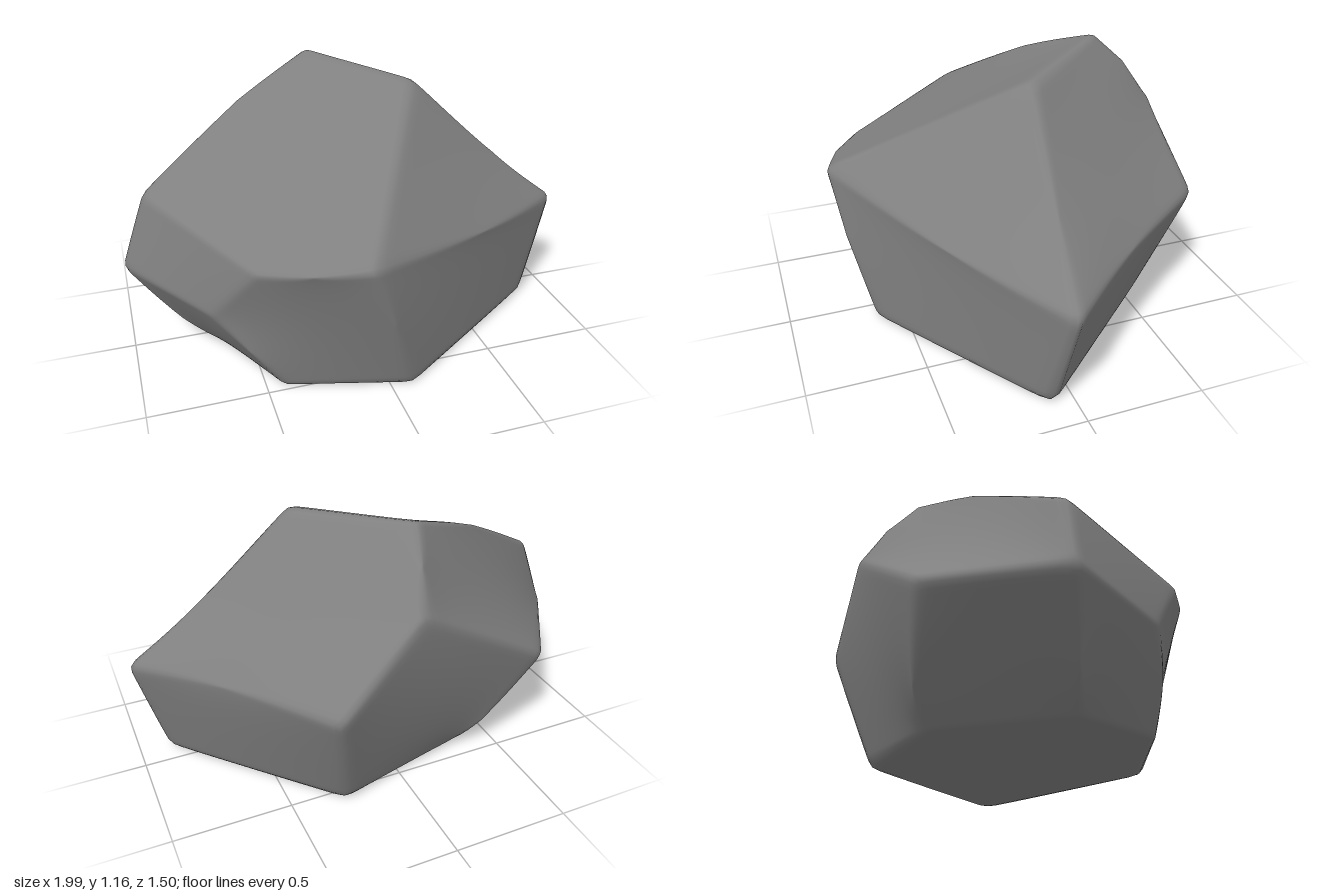
import * as THREE from 'three';

// Corner points of the boulder; those shared by only two facets bend an edge softly
const corners = {
  peak: [-0.06, 1.165, -0.46], ridge: [-0.4, 1.04, -0.29], shoulder: [0.3, 1.13, -0.02],
  brow: [-0.13, 0.67, 0.76], browCurve: [-0.35, 0.635, 0.69], leftBrow: [-0.54, 0.62, 0.57],
  leftTop: [-0.9, 0.74, -0.02], tip: [1.015, 0.485, 0.06], tipRidge: [0.72, 0.7, 0.02],
  frontCrease: [0.52, 0.53, 0.39], backCrease: [0.7, 0.53, -0.28], back: [0.385, 0.545, -0.765],
  backTop: [0.02, 0.88, -0.7], backRidge: [-0.02, 1.045, -0.59], backLeft: [-0.68, 0.45, -0.53],
  left: [-1.015, 0.4, -0.03], chamfer: [-0.7, 0.36, 0.4], frontEdge: [-0.03, 0.4, 0.72],
  chamferEdge: [-0.56, 0.2, 0.48], sideEdge: [-0.77, 0.1, 0.06], lowBack: [-0.38, 0.1, -0.49],
  footTip: [0.885, 0, 0.1], footFront: [0.09, 0, 0.63], footLeft: [-0.42, 0, 0.48],
  footSide: [-0.6, 0, 0.1], footRear: [-0.3, 0, -0.4], footBack: [0.28, 0, -0.565],
};

// Facets, counter-clockwise from outside
const facets = [
  'peak ridge leftTop leftBrow browCurve brow shoulder',
  'shoulder brow frontCrease tip tipRidge',
  'brow frontEdge footFront footTip tip frontCrease',
  'brow browCurve leftBrow chamfer chamferEdge footLeft footFront frontEdge',
  'leftTop left chamfer leftBrow',
  'left sideEdge footSide footLeft chamferEdge chamfer',
  'peak backRidge backTop backLeft left leftTop ridge',
  'backTop back footBack footRear lowBack backLeft',
  'backLeft lowBack footRear footSide sideEdge left',
  'shoulder tipRidge tip backCrease back backTop backRidge peak',
  'tip footTip footBack back backCrease',
  'footTip footFront footLeft footSide footRear footBack',
];

// Fan every facet around its middle; rims are the edges between facets
function buildCage() {
  const names = Object.keys(corners);
  const points = names.map((n) => new THREE.Vector3(...corners[n]));
  const tris = [], rims = [];
  for (const list of facets) {
    const ids = list.split(' ').map((n) => names.indexOf(n));
    const mid = new THREE.Vector3();
    ids.forEach((i) => mid.addScaledVector(points[i], 1 / ids.length));
    const m = points.push(mid) - 1;
    ids.forEach((a, k) => {
      const b = ids[(k + 1) % ids.length];
      tris.push([m, a, b]);
      if (a < b) rims.push([a, b], [b, a]);
    });
  }
  return { points, tris, rims };
}

// Split every triangle in four and every rim in two, sharing midpoints
function subdivide({ points, tris, rims }) {
  const mids = new Map();
  const midpoint = (a, b) => {
    const key = a < b ? `${a}_${b}` : `${b}_${a}`;
    if (!mids.has(key)) mids.set(key, points.push(points[a].clone().lerp(points[b], 0.5)) - 1);
    return mids.get(key);
  };
  const split = tris.flatMap(([a, b, c]) => {
    const ab = midpoint(a, b), bc = midpoint(b, c), ca = midpoint(c, a);
    return [[a, ab, ca], [ab, b, bc], [ca, bc, c], [ab, bc, ca]];
  });
  const halves = rims.flatMap(([a, b]) => [[a, midpoint(a, b)], [midpoint(a, b), b]]);
  return { points, tris: split, rims: halves };
}

// Pull points halfway toward the mean of their linked neighbours
function relax(points, links, moves) {
  const sums = points.map(() => new THREE.Vector3());
  const counts = points.map(() => 0);
  for (const [a, b] of links) {
    sums[a].add(points[b]);
    counts[a]++;
  }
  points.forEach((p, i) => {
    if (counts[i] && moves(i, counts[i])) p.lerp(sums[i].divideScalar(counts[i]), 0.5);
  });
}

export function createModel() {
  let mesh = buildCage(), links;
  for (let level = 0; level < 4; level++) {
    mesh = subdivide(mesh);
    links = mesh.tris.flatMap(([a, b, c]) => [[a, b], [b, c], [c, a]]);
    const onRim = new Set(mesh.rims.flat());
    // Curve the edges between fixed corners, then smooth the facets inside them
    relax(mesh.points, mesh.rims, (i, count) => count === 2);
    for (let i = 0; i < 8; i++) relax(mesh.points, links, (i) => !onRim.has(i));
  }
  // Wear the sharp edges slightly
  for (let i = 0; i < 2; i++) relax(mesh.points, links, () => true);

  const geometry = new THREE.BufferGeometry().setFromPoints(mesh.points);
  geometry.setIndex(mesh.tris.flat());
  geometry.computeVertexNormals();

  const boulder = new THREE.Mesh(geometry, new THREE.MeshStandardMaterial({ color: 0x808080 }));
  boulder.name = 'boulder';
  const group = new THREE.Group();
  group.name = 'rock';
  group.add(boulder);
  return group;
}
